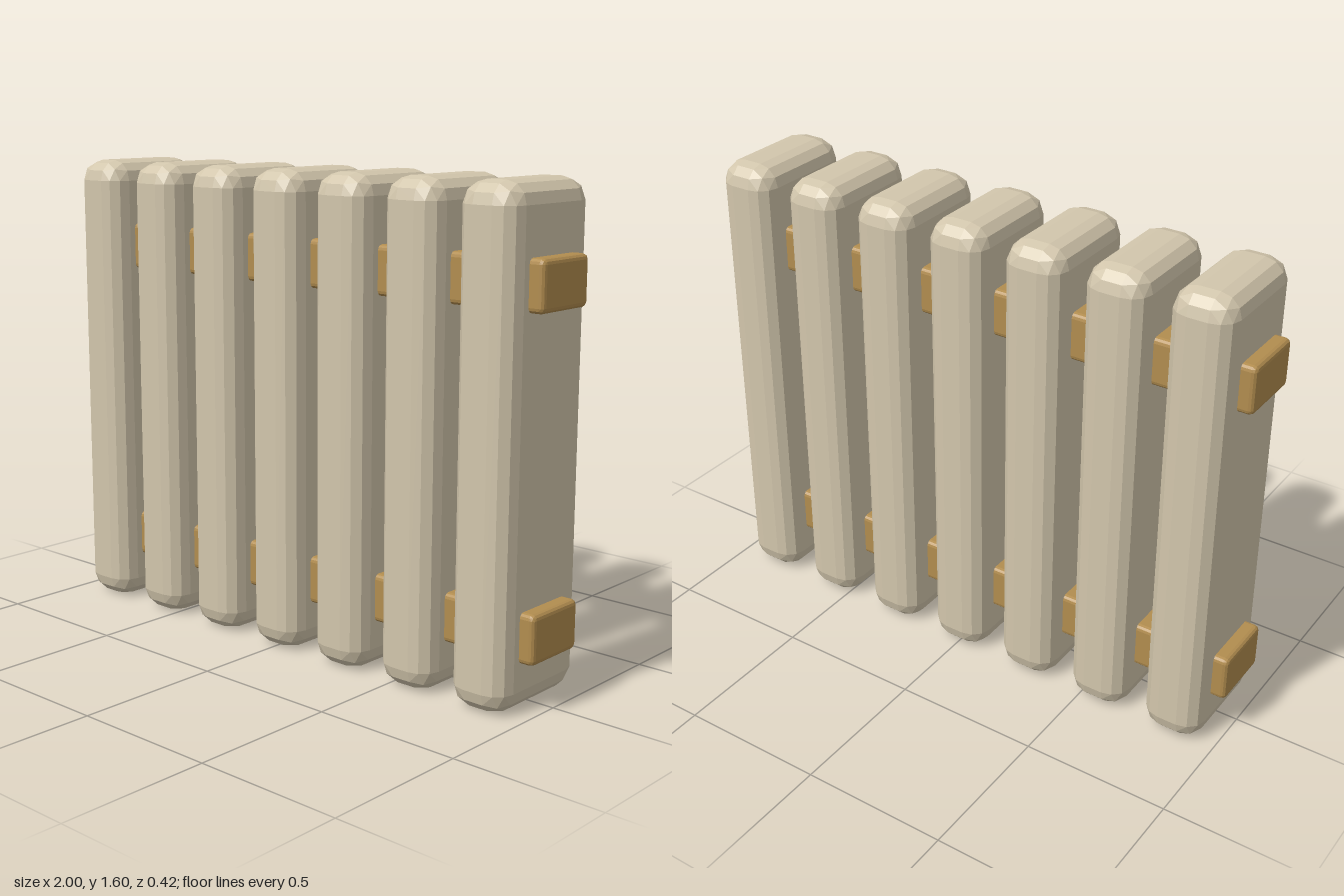
import * as THREE from 'three';
import { ConvexGeometry } from 'three/addons/geometries/ConvexGeometry.js';

// Box with faceted round edges: three flat bands per edge
function bevelledBox(w, h, d, r, n = 3) {
  const points = [];
  const s = (i) => Math.sin((i / n) * Math.PI / 2);
  for (const sx of [-1, 1]) for (const sy of [-1, 1]) for (const sz of [-1, 1]) {
    for (let i = 0; i <= n; i++) for (let j = 0; j <= n - i; j++) {
      const dir = new THREE.Vector3(s(i), s(j), s(n - i - j)).normalize();
      points.push(new THREE.Vector3(
        sx * (w / 2 - r + dir.x * r),
        sy * (h / 2 - r + dir.y * r),
        sz * (d / 2 - r + dir.z * r)));
    }
  }
  return new ConvexGeometry(points);
}

export function createModel() {
  const group = new THREE.Group();
  group.name = 'slattedPanel';

  const cream = new THREE.MeshStandardMaterial({ color: 0xd2c6ac });
  cream.name = 'cream';
  const ochre = new THREE.MeshStandardMaterial({ color: 0xb28d4f });
  ochre.name = 'ochre';

  // Seven upright columns
  const columnGeometry = bevelledBox(0.208, 1.6, 0.42, 0.07);
  for (let i = -3; i <= 3; i++) {
    const column = new THREE.Mesh(columnGeometry, cream);
    column.name = `column${i + 4}`;
    column.position.set(i * 0.282, 0.8, 0);
    group.add(column);
  }

  // Two rails running through the columns
  const railGeometry = bevelledBox(2, 0.16, 0.235, 0.017);
  for (const [name, y] of [['lowerRail', 0.24], ['upperRail', 1.3]]) {
    const rail = new THREE.Mesh(railGeometry, ochre);
    rail.name = name;
    rail.position.y = y;
    group.add(rail);
  }
  return group;
}
